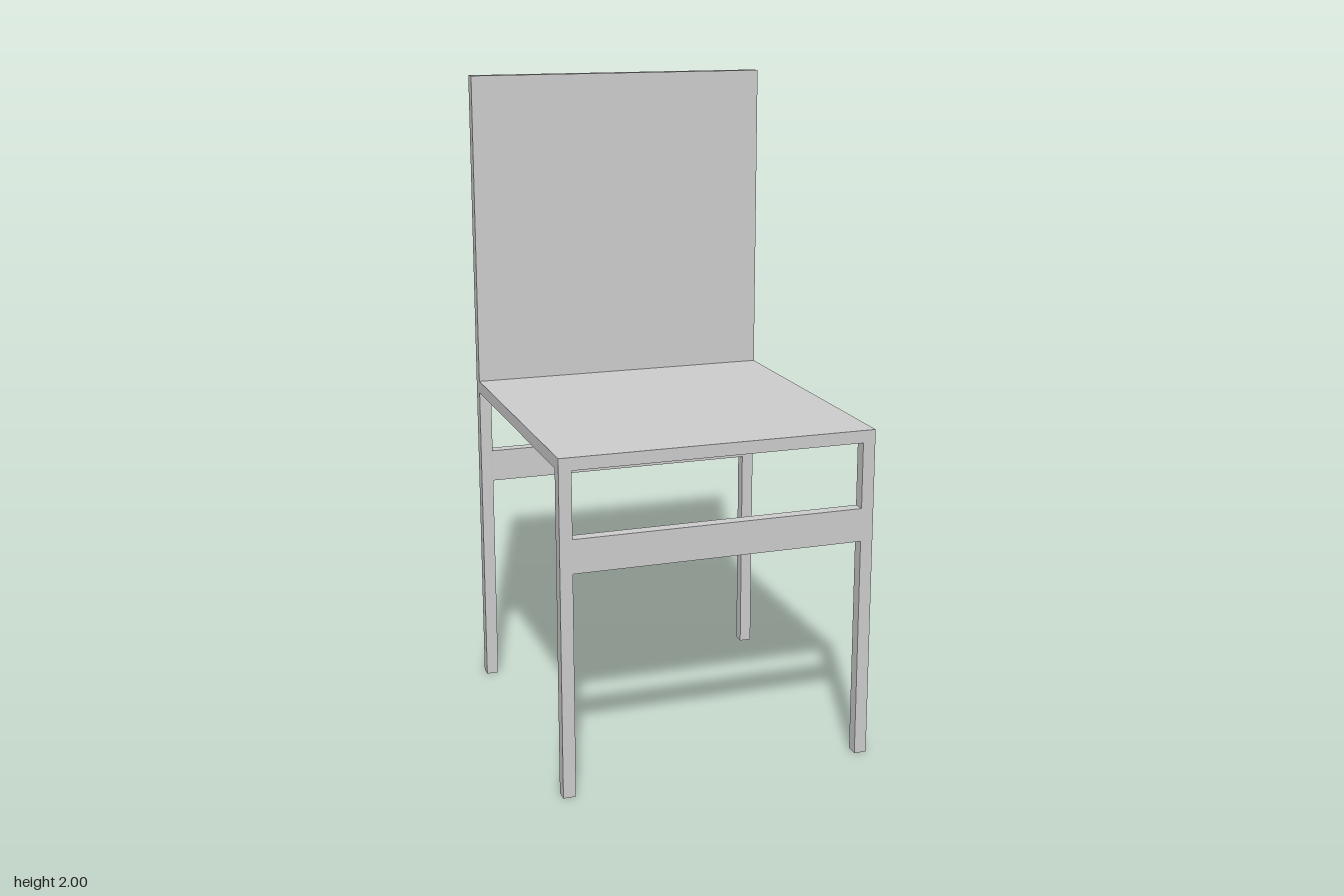
import * as THREE from 'three';

const W = 0.96;          // overall width
const D = 1.0;           // overall depth
const T = 0.038;         // thickness of panels, legs and rails
const SEAT_TOP = 1.022;
const SEAT_BOTTOM = SEAT_TOP - T;

export function createModel() {
  const chair = new THREE.Group();
  chair.name = 'chair';
  const material = new THREE.MeshStandardMaterial({ color: 0xcccccc, flatShading: true });

  // Box standing on height y0
  const addBox = (name, w, h, d, x, y0, z) => {
    const mesh = new THREE.Mesh(new THREE.BoxGeometry(w, h, d), material);
    mesh.name = name;
    mesh.position.set(x, y0 + h / 2, z);
    chair.add(mesh);
  };

  const legX = (W - T) / 2;
  const legZ = (D - T) / 2;

  // Seat panel and upright backrest panel
  addBox('seat', W, T, D, 0, SEAT_BOTTOM, 0);
  addBox('backrest', W, 2 - SEAT_TOP, T, 0, SEAT_TOP, -legZ);

  // Front and back: a pair of legs joined by a cross rail
  for (const [end, z] of [['front', legZ], ['back', -legZ]]) {
    addBox(`${end}LeftLeg`, T, SEAT_BOTTOM, T, legX, 0, z);
    addBox(`${end}RightLeg`, T, SEAT_BOTTOM, T, -legX, 0, z);
    addBox(`${end}Rail`, W - 2 * T, 0.102, T, 0, 0.682, z);
  }

  return chair;
}
